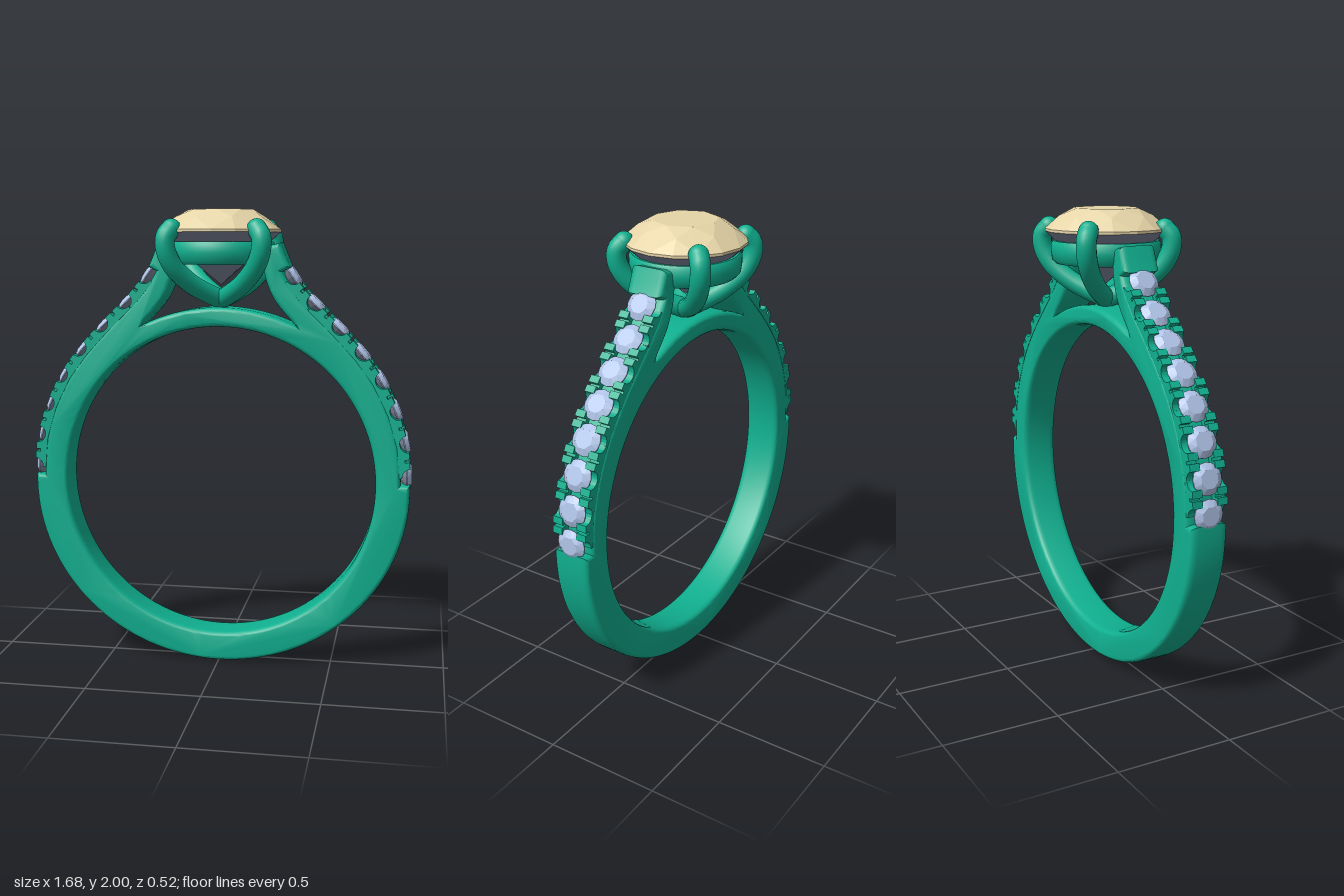
import * as THREE from 'three';
import { toCreasedNormals } from 'three/addons/utils/BufferGeometryUtils.js';
import { ConvexGeometry } from 'three/addons/geometries/ConvexGeometry.js';

const metal = new THREE.MeshStandardMaterial({ color: 0x10b090 });
const cream = new THREE.MeshStandardMaterial({ color: 0xe6d5a8 });
const paleBlue = new THREE.MeshStandardMaterial({ color: 0xb0c4e8 });
const slate = new THREE.MeshStandardMaterial({ color: 0x80879c });

const V2 = (x, y) => new THREE.Vector2(x, y);

function add(parent, name, geometry, material) {
  const mesh = new THREE.Mesh(geometry, material);
  mesh.name = name;
  parent.add(mesh);
  return mesh;
}

// Faceted solid from rings of [radius, height, corner count, angle offset]
function facets(rings) {
  const points = [];
  for (const [r, y, n, offset = 0] of rings) {
    for (let i = 0; i < n; i++) {
      const a = offset + (i / n) * Math.PI * 2;
      points.push(new THREE.Vector3(r * Math.cos(a), y, r * Math.sin(a)));
    }
  }
  return new ConvexGeometry(points);
}

// Outer edge of the shoulder, from the side of the band up to the setting
const shoulder = new THREE.SplineCurve([
  V2(0.833, 0.8), V2(0.825, 0.97), V2(0.78, 1.14), V2(0.7, 1.3), V2(0.6, 1.43),
  V2(0.49, 1.545), V2(0.39, 1.645), V2(0.315, 1.745), V2(0.265, 1.86),
]);
const LENGTH = shoulder.getLength();
const PITCH = 0.146, FIRST = 0.07, COUNT = 8, NOTCH = 0.037;

function edgeAt(s) {
  const u = Math.min(1, s / LENGTH);
  const t = shoulder.getTangentAt(u);
  return { point: shoulder.getPointAt(u), normal: V2(t.y, -t.x) };
}

function edgePoint(s, depth) {
  const { point, normal } = edgeAt(s);
  return point.addScaledVector(normal, -depth);
}

function bandGeometry() {
  const start = FIRST - NOTCH, end = FIRST + (COUNT - 1) * PITCH + NOTCH;
  const right = [edgePoint(0, 0), edgePoint(start, 0)];
  // sunken channel for the small stones
  for (let i = 0; i <= 48; i++) right.push(edgePoint(start + ((end - start) * i) / 48, 0.04));
  for (let i = 0; i <= 4; i++) right.push(edgePoint(end + ((LENGTH - end) * i) / 4, 0));
  // inner edge of the shoulder, then the arch under the setting
  const inner = new THREE.SplineCurve([V2(0.2, 1.845), V2(0.195, 1.74), V2(0.24, 1.62), V2(0.335, 1.508)]);
  right.push(...inner.getPoints(16));
  for (let i = 1; i <= 12; i++) {
    const a = 1.119 + ((Math.PI / 2 - 1.119) * i) / 12;
    right.push(V2(0.768 * Math.cos(a), 0.8175 + 0.768 * Math.sin(a)));
  }
  const left = right.slice(0, -1).reverse().map((p) => V2(-p.x, p.y));
  const bottom = [];
  for (let i = 1; i < 64; i++) {
    const a = Math.PI * (1 + i / 64);
    bottom.push(V2(0.833 * Math.cos(a), 0.8 + 0.8 * Math.sin(a)));
  }
  const shape = new THREE.Shape([...right, ...left, ...bottom]);
  shape.holes.push(new THREE.Path().absarc(0, 0.8175, 0.685, 0, Math.PI * 2, true));
  const geometry = new THREE.ExtrudeGeometry(shape, {
    depth: 0.106, bevelThickness: 0.03, bevelSize: 0.018, bevelOffset: -0.018,
    bevelSegments: 4, curveSegments: 64,
  });
  return toCreasedNormals(geometry.translate(0, 0, -0.053), 0.6);
}

// Split bead block standing between two scalloped stone seats
function beadGeometry() {
  const h = PITCH / 2;
  const shape = new THREE.Shape();
  shape.moveTo(-h, -0.05);
  shape.lineTo(h, -0.05);
  shape.lineTo(h, -NOTCH);
  shape.absarc(h, 0, NOTCH, -Math.PI / 2, -Math.PI, true);
  shape.lineTo(0.006, 0);
  shape.lineTo(0.006, -0.02);
  shape.lineTo(-0.006, -0.02);
  shape.lineTo(-0.006, 0);
  shape.absarc(-h, 0, NOTCH, 0, -Math.PI / 2, true);
  const geometry = new THREE.ExtrudeGeometry(shape, { depth: 0.046, bevelEnabled: false, curveSegments: 8 });
  return toCreasedNormals(geometry, 0.6);
}

export function createModel() {
  const ring = new THREE.Group();
  ring.name = 'ring';

  add(ring, 'band', bandGeometry(), metal);

  // Small stones and the beads between them, on both shoulders
  const crown = facets([[0.04, 0.007, 8, Math.PI / 8], [0.066, -0.011, 16], [0.066, -0.015, 16]]);
  const pavilion = facets([[0.066, -0.015, 16], [0, -0.06, 1]]);
  const bead = beadGeometry();
  for (const side of [1, -1]) {
    const place = (object, s) => {
      const { point, normal } = edgeAt(s);
      object.position.set(side * point.x, point.y, 0);
      object.rotation.z = Math.atan2(-side * normal.x, normal.y);
      ring.add(object);
    };
    for (let i = 0; i < COUNT; i++) {
      const stone = new THREE.Group();
      stone.name = 'smallStone';
      add(stone, 'smallStoneCrown', crown, paleBlue);
      add(stone, 'smallStonePavilion', pavilion, slate);
      place(stone, FIRST + i * PITCH);
      if (i === 0) continue;
      const pair = new THREE.Group();
      pair.name = 'beadPair';
      add(pair, 'bead', bead, metal).position.z = 0.035;
      add(pair, 'bead', bead, metal).position.z = -0.081;
      place(pair, FIRST + (i - 0.5) * PITCH);
    }
  }

  // Main stone: domed crown above, pointed pavilion below
  const step = Math.PI / 8;
  add(ring, 'mainStoneCrown', facets([
    [0.14, 2, 8], [0.2, 1.968, 8, step], [0.26, 1.916, 16], [0.26, 1.905, 16],
  ]), cream);
  add(ring, 'mainStonePavilion', facets([
    [0.26, 1.905, 16], [0.148, 1.8, 8, step], [0, 1.68, 1],
  ]), slate);

  // Gallery collar under the main stone
  const collar = [
    [0.18, 1.785], [0.19, 1.77], [0.215, 1.77], [0.23, 1.785], [0.235, 1.82],
    [0.235, 1.85], [0.225, 1.865], [0.195, 1.865], [0.18, 1.85], [0.18, 1.785],
  ].map(([x, y]) => V2(x, y));
  add(ring, 'galleryCollar', toCreasedNormals(new THREE.LatheGeometry(collar, 64), 0.8), metal);

  // Four claws sweeping out from the base and hooking over the stone
  const path = new THREE.CatmullRomCurve3([
    [0, 1.617], [0.07, 1.645], [0.16, 1.69], [0.245, 1.76], [0.283, 1.83], [0.284, 1.885], [0.255, 1.918],
  ].map(([x, y]) => new THREE.Vector3(x, y, 0)));
  const clawGeometry = new THREE.TubeGeometry(path, 40, 0.042, 16);
  const tipGeometry = new THREE.SphereGeometry(0.042, 20, 14);
  for (let i = 0; i < 4; i++) {
    const claw = new THREE.Group();
    claw.name = 'claw';
    add(claw, 'clawArm', clawGeometry, metal);
    add(claw, 'clawTip', tipGeometry, metal).position.copy(path.getPoint(1));
    claw.rotation.y = Math.PI / 4 + (i * Math.PI) / 2;
    ring.add(claw);
  }
  add(ring, 'clawBase', tipGeometry, metal).position.y = 1.617;

  return ring;
}
